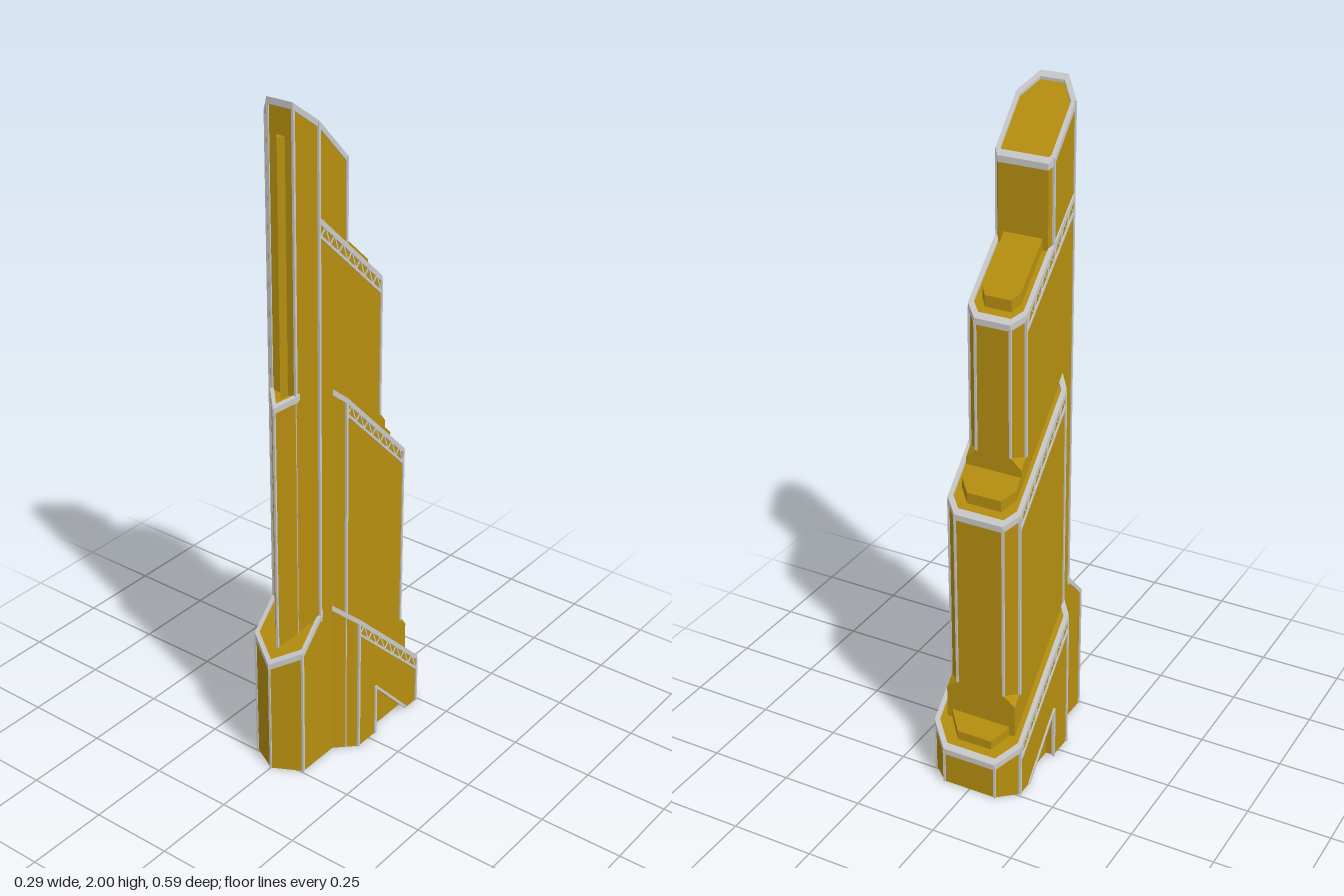
import * as THREE from 'three';

const gold = new THREE.MeshStandardMaterial({ color: 0xb8900f, flatShading: true });
const grey = new THREE.MeshStandardMaterial({ color: 0xcccccc, flatShading: true });

// Convex footprint of [x, z] points between two heights, each a number or f(x, z)
function prism(points, bottom, top) {
  const h = (f, p) => (typeof f === 'number' ? f : f(p[0], p[1]));
  const n = points.length;
  let area = 0;
  points.forEach((p, i) => { const q = points[(i + 1) % n]; area += p[0] * q[1] - q[0] * p[1]; });
  const pts = area > 0 ? [...points].reverse() : points;
  const lo = pts.map(p => [p[0], h(bottom, p), p[1]]);
  const hi = pts.map(p => [p[0], h(top, p), p[1]]);
  const v = [];
  for (let i = 0; i < n; i++) {
    const j = (i + 1) % n;
    v.push(...lo[i], ...lo[j], ...hi[j], ...lo[i], ...hi[j], ...hi[i]);
    if (i > 0 && j > 0) v.push(...hi[0], ...hi[i], ...hi[j], ...lo[0], ...lo[j], ...lo[i]);
  }
  const geo = new THREE.BufferGeometry();
  geo.setAttribute('position', new THREE.Float32BufferAttribute(v, 3));
  geo.computeVertexNormals();
  return geo;
}

// Offset a footprint inwards by d
function inset(pts, d) {
  const n = pts.length;
  let area = 0;
  pts.forEach((p, i) => { const q = pts[(i + 1) % n]; area += p[0] * q[1] - q[0] * p[1]; });
  const s = Math.sign(area);
  const normal = (a, b) => {
    const l = Math.hypot(b[0] - a[0], b[1] - a[1]);
    return [-s * (b[1] - a[1]) / l, s * (b[0] - a[0]) / l];
  };
  return pts.map((p, i) => {
    const m = normal(pts[(i + n - 1) % n], p), k = normal(p, pts[(i + 1) % n]);
    const f = d / (1 + m[0] * k[0] + m[1] * k[1]);
    return [p[0] + (m[0] + k[0]) * f, p[1] + (m[1] + k[1]) * f];
  });
}

// Both halves of a footprint from its +x half, listed front to back
const mirror = half => [...half, ...half.filter(p => p[0] > 0).map(p => [-p[0], p[1]]).reverse()];
// Roof plane that drops towards the back (or front for negative slope)
const slope = (y, z0, k) => (x, z) => y + (z - z0) * k;

export function createModel() {
  const model = new THREE.Group();
  model.name = 'tower';

  function add(name, geo, mat = gold, parent = model) {
    const mesh = new THREE.Mesh(geo, mat);
    mesh.name = name;
    parent.add(mesh);
    return mesh;
  }
  function group(name) {
    const g = new THREE.Group();
    g.name = name;
    model.add(g);
    return g;
  }
  // Thin square bar between two points
  function bar(name, a, b, w, parent) {
    const p = new THREE.Vector3(...a), q = new THREE.Vector3(...b);
    const mesh = add(name, new THREE.BoxGeometry(w, w, p.distanceTo(q)), grey, parent);
    mesh.position.copy(p).add(q).multiplyScalar(0.5);
    mesh.lookAt(q);
  }
  // Raised grey parapet around a sloping roof
  function rim(name, pts, top, width, parent) {
    const outer = inset(pts, -0.003), inner = inset(pts, width);
    pts.forEach((p, i) => {
      const j = (i + 1) % pts.length;
      add(name, prism([outer[i], outer[j], inner[j], inner[i]], (x, z) => top(x, z) - 0.018, top), grey, parent);
    });
  }
  // Vertical trims on both sides
  function edges(name, list, parent) {
    for (const [x, z, y0, y1] of list)
      for (const s of x ? [-1, 1] : [1]) bar(name, [s * x, y0, z], [s * x, y1, z], 0.007, parent);
  }
  // Lattice band below the rim on both side walls
  function lattice(x, z0, z1, top, parent) {
    const count = 14, drop = 0.05;
    for (const s of [-1, 1]) {
      const at = (i, d) => {
        const z = z0 + (z1 - z0) * i / count;
        return [s * x, top(x, z) - d, z];
      };
      bar('latticeChord', at(0, drop), at(count, drop), 0.007, parent);
      for (let i = 0; i < count; i++)
        bar('latticeBrace', at(i, i % 2 ? 0.012 : drop), at(i + 1, i % 2 ? drop : 0.012), 0.004, parent);
    }
  }
  const lower = top => (x, z) => top(x, z) - 0.008;

  // Central shaft with sloping crown
  const shaft = group('shaft');
  const shaftPts = mirror([[0.04, 0.205], [0.085, 0.16], [0.085, 0.045], [0.075, 0.033]]);
  const crown = slope(2, 0.205, 1.05);
  add('shaftBody', prism(shaftPts, 0, lower(crown)), gold, shaft);
  rim('crownRim', shaftPts, crown, 0.01, shaft);
  edges('shaftTrim', [[0.085, 0.16, 0.48, 1.95], [0.04, 0.205, 0.42, 1.99]], shaft);
  edges('shaftBackTrim', [[0.085, 0.045, 1.58, 1.83]], shaft);

  // Narrow rib up the front of the shaft
  add('frontRib', prism([[-0.017, 0.2], [0, 0.221], [0.017, 0.2]], 1.1, 1.91));

  // V-shaped front prow and the larger prow at the base
  const prow = group('prow');
  const prowPts = mirror([[0, 0.249], [0.045, 0.205], [0.045, 0.19]]);
  const prowTop = slope(1.17, 0.249, -0.7);
  add('prowBody', prism(prowPts, 0, lower(prowTop)), gold, prow);
  rim('prowRim', prowPts, prowTop, 0.007, prow);
  edges('prowTrim', [[0, 0.248, 0.4, 1.165]], prow);

  const basePts = mirror([[0, 0.289], [0.085, 0.243], [0.085, 0.155]]);
  const baseTop = slope(0.37, 0.289, -1.04);
  const base = group('baseProw');
  add('baseProwBody', prism(basePts, 0, lower(baseTop)), gold, base);
  rim('baseProwRim', basePts, baseTop, 0.008, base);
  edges('baseProwTrim', [[0, 0.287, 0, 0.365], [0.085, 0.243, 0, 0.41]], base);

  // Three stepped tiers: footprint, roof, back chamfer stop, raised roof block
  const tiers = [
    { name: 'upperTier', half: [[0.086, 0.16], [0.086, -0.108], [0.053, -0.135]],
      top: slope(1.7, 0.16, 0.93), stop: 1.03, foot: 0.85, band: [0.155, -0.105],
      block: [[0.058, 0.06], [0.058, -0.085], [0.04, -0.105]], raise: 0.025 },
    { name: 'middleTier', half: [[0.085, 0.102], [0.111, 0.075], [0.111, -0.19], [0.075, -0.22]],
      top: slope(1.19, 0.102, 1.0), stop: 0.31, foot: 0.08, band: [0.073, -0.188],
      block: [[0.085, -0.05], [0.085, -0.162], [0.053, -0.19]], raise: 0.025 },
    { name: 'lowerTier', half: [[0.085, 0.105], [0.14, 0.05], [0.14, -0.24], [0.083, -0.29]],
      top: slope(0.12, -0.29, 0.97), stop: 0, foot: 0, band: [0.048, -0.235],
      block: [[0.093, -0.1], [0.093, -0.222], [0.055, -0.26]], raise: 0.02 },
  ];
  for (const t of tiers) {
    const g = group(t.name);
    const pts = mirror(t.half);
    const roof = lower(t.top);
    if (t.name !== 'lowerTier') {
      add('tierBody', prism(pts, t.foot, roof), gold, g);
    } else {
      // Inner body plus side walls that leave a triangular recess
      add('tierBody', prism(mirror([[0.085, 0.105], [0.115, 0.075], [0.115, -0.262], [0.083, -0.29]]), 0, roof), gold, g);
      const ramp = (x, z) => 0.17 * (z + 0.19) / 0.16;
      for (const s of [-1, 1]) {
        const wall = (list, bottom) => add('sideWall', prism(list.map(p => [s * p[0], p[1]]), bottom, roof), gold, g);
        wall([[0.115, 0.075], [0.14, 0.05], [0.14, -0.03], [0.115, -0.03]], 0);
        wall([[0.115, -0.03], [0.14, -0.03], [0.14, -0.19], [0.115, -0.19]], ramp);
        wall([[0.115, -0.19], [0.14, -0.19], [0.14, -0.24], [0.115, -0.262]], 0);
        bar('recessPost', [s * 0.14, 0, -0.032], [s * 0.14, 0.17, -0.032], 0.008, g);
        bar('recessRamp', [s * 0.14, 0.17, -0.032], [s * 0.14, 0.004, -0.188], 0.008, g);
      }
    }
    rim('tierRim', pts, t.top, 0.011, g);
    lattice(t.half[t.half.length - 2][0], ...t.band, t.top, g);
    add('roofBlock', prism(mirror(t.block), t.top(0, -0.29) - 0.05, (x, z) => t.top(x, z) + t.raise), gold, g);

    // Square corners below the back chamfers
    const [side, back] = t.half.slice(-2);
    if (t.stop) for (const s of [-1, 1]) {
      const corner = [s * side[0], back[1]];
      add('chamferStop', prism([[s * side[0], side[1]], corner, [s * back[0], back[1]]], t.foot,
        (x, z) => (x === corner[0] && z === corner[1] ? t.stop - 0.03 : t.stop)), gold, g);
    }
    const vertical = t.half.slice(-2).map(([x, z]) => [x, z, t.stop, t.top(x, z) - 0.01]);
    if (t.half.length > 3) {
      const [x, z] = t.half[1];
      vertical.push([x, z, 0, t.top(x, z) - 0.01]);
    }
    edges('tierTrim', vertical, g);
  }
  return model;
}
